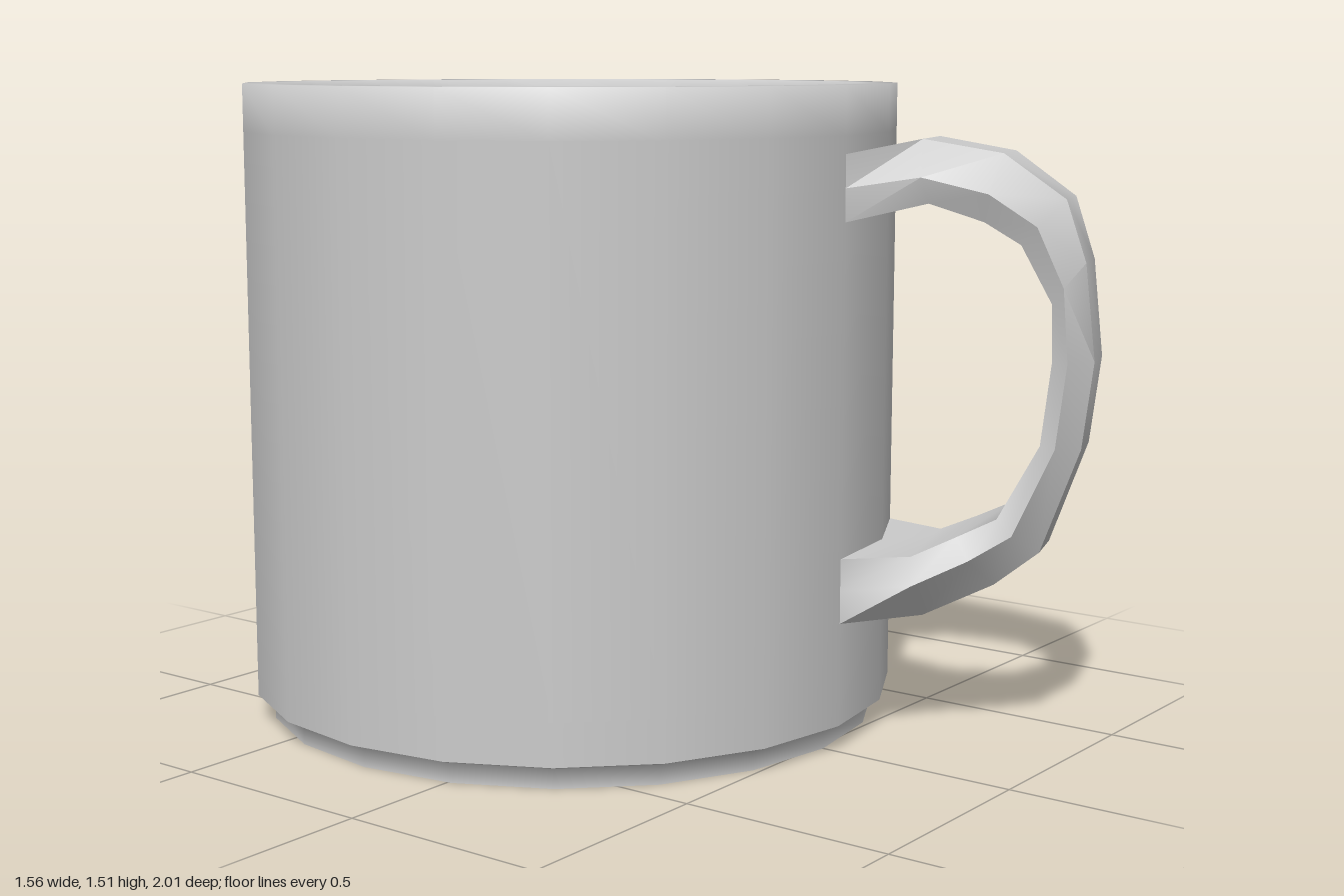
import * as THREE from 'three';
import { toCreasedNormals } from 'three/addons/utils/BufferGeometryUtils.js';

const SIDES = 20;
const CENTRE_Z = -0.22;

// Revolves [radius, height] pairs around the mug's axis
function lathe(name, profile, material) {
  const points = profile.map(([r, y]) => new THREE.Vector2(r, y));
  const mesh = new THREE.Mesh(new THREE.LatheGeometry(points, SIDES), material);
  mesh.name = name;
  return mesh;
}

// Six-sided loops joined along the handle; the ends are rectangular
function handleGeometry() {
  // inner radius, inner height, outer radius, outer height, half width
  const sections = [
    [0.742, 1.21, 0.742, 1.36, 0.24],
    [0.91, 1.25, 0.88, 1.39, 0.185],
    [1.03, 1.21, 1.06, 1.36, 0.155],
    [1.11, 1.16, 1.2, 1.26, 0.135],
    [1.18, 1.03, 1.246, 1.12, 0.125],
    [1.182, 0.9, 1.27, 0.9, 0.115],
    [1.16, 0.71, 1.246, 0.7, 0.115],
    [1.07, 0.54, 1.16, 0.46, 0.135],
    [0.98, 0.495, 1.06, 0.38, 0.155],
    [0.885, 0.45, 0.9, 0.3, 0.19],
    [0.742, 0.45, 0.742, 0.3, 0.24],
  ];
  // across, depth from the inner face
  const middle = [[-0.85, 0], [0.85, 0], [1, 0.42], [0.5, 1], [-0.5, 1], [-1, 0.42]];
  const end = [[-1, 0], [1, 0], [1, 0.5], [1, 1], [-1, 1], [-1, 0.5]];
  const positions = [];
  const indices = [];
  const n = middle.length;
  sections.forEach(([ir, iy, or, oy, w], i) => {
    const loop = i === 0 || i === sections.length - 1 ? end : middle;
    for (const [u, v] of loop) {
      positions.push(u * w, iy + (oy - iy) * v, ir + (or - ir) * v);
    }
    if (i === 0) return;
    for (let k = 0; k < n; k++) {
      const a = (i - 1) * n + k;
      const b = (i - 1) * n + (k + 1) % n;
      indices.push(a, a + n, b, b, a + n, b + n);
    }
  });
  const geometry = new THREE.BufferGeometry();
  geometry.setAttribute('position', new THREE.Float32BufferAttribute(positions, 3));
  geometry.setIndex(indices);
  return toCreasedNormals(geometry, 0.65);
}

export function createModel() {
  const group = new THREE.Group();
  group.name = 'mug';
  const material = new THREE.MeshStandardMaterial({ color: 0xcccccc });
  const bothSides = new THREE.MeshStandardMaterial({ color: 0xcccccc, side: THREE.DoubleSide });

  // Outer wall, rim and inner wall
  group.add(lathe('wall', [
    [0.78, 0.06], [0.78, 0.16], [0.78, 1.4], [0.78, 1.51],
    [0.70, 1.51], [0.68, 1.47], [0.675, 1.3], [0.67, 0.08],
  ], material));

  // Recessed foot ring with its underside, and the inside floor
  group.add(lathe('foot', [[0.74, 0], [0.74, 0.045], [0.78, 0.06]], material));
  group.add(lathe('underside', [[0, 0], [0.74, 0]], material));
  group.add(lathe('floor', [[0.67, 0.08], [0, 0.08]], material));

  // Handle, centred on the second corner of the wall
  const handle = new THREE.Mesh(handleGeometry(), bothSides);
  handle.name = 'handle';
  handle.rotation.y = (2 * Math.PI) / SIDES;
  group.add(handle);

  for (const part of group.children) part.position.z = CENTRE_Z;
  return group;
}
